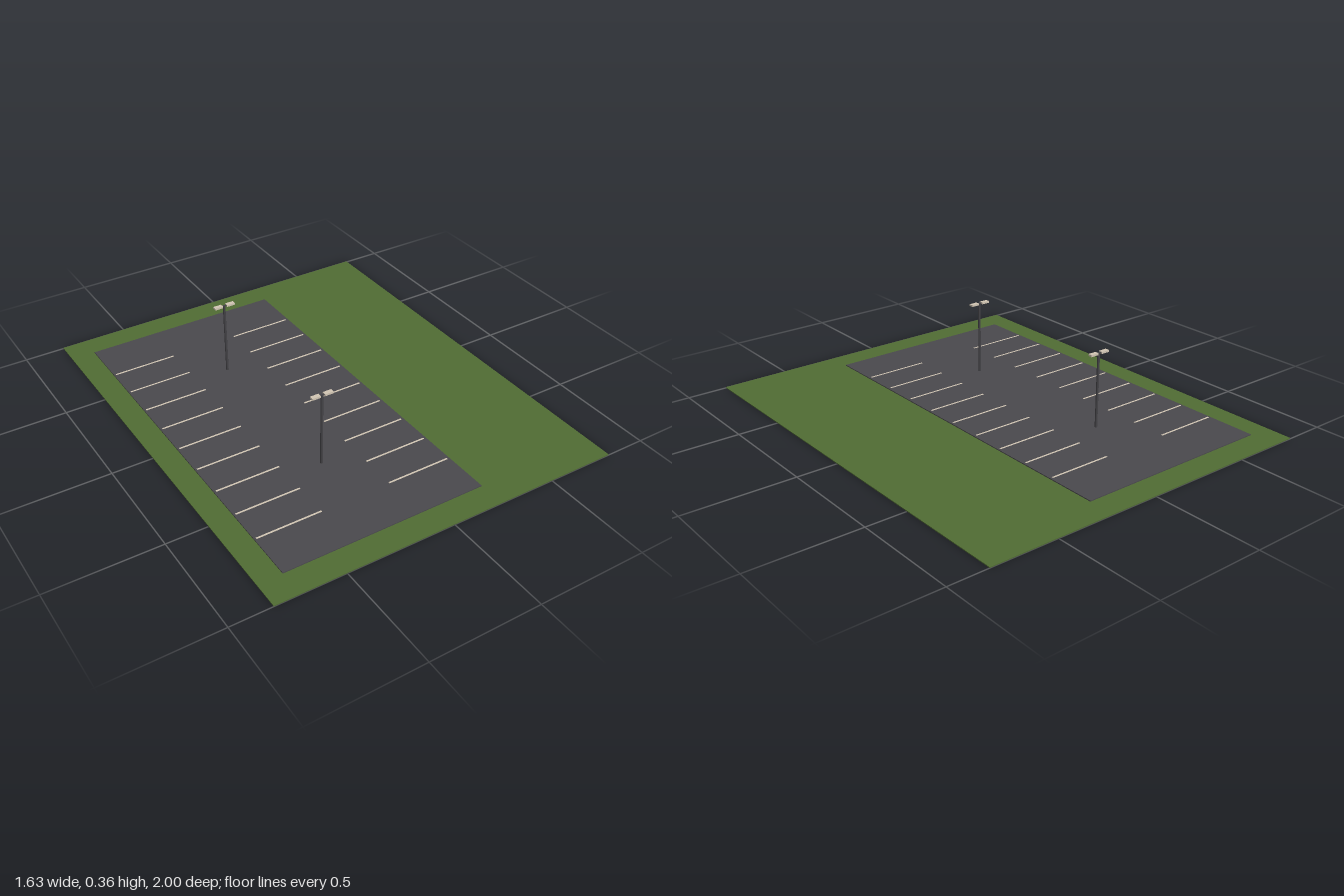
import * as THREE from 'three';

const material = (name, color) => {
  const m = new THREE.MeshStandardMaterial({ color });
  m.name = name;
  return m;
};

export function createModel() {
  const grass = material('grass green', 0x506c33);
  const asphalt = material('asphalt grey', 0x4a494d);
  const paint = material('line cream', 0xd2c6b4);
  const metal = material('pole charcoal', 0x444347);

  const model = new THREE.Group();
  model.name = 'parkingLot';

  // Box given by its size, centre x/z and the height of its underside
  const box = (parent, name, mat, [w, h, d], x, y, z) => {
    const mesh = new THREE.Mesh(new THREE.BoxGeometry(w, h, d), mat);
    mesh.name = name;
    mesh.position.set(x, y + h / 2, z);
    parent.add(mesh);
    return mesh;
  };

  // Lawn slab with the paved area on top
  box(model, 'lawn', grass, [1.63, 0.004, 2], 0, 0, 0);
  box(model, 'pavement', asphalt, [0.936, 0.004, 1.756], -0.237, 0.004, 0);

  // Two rows of parking bay lines
  const lines = new THREE.Group();
  lines.name = 'bayLines';
  model.add(lines);
  for (let i = 0; i < 9; i++) {
    const z = 0.009 + (i - 4) * 0.164;
    for (const x of [-0.548, 0.072]) {
      box(lines, 'bayLine', paint, [0.296, 0.001, 0.008], x, 0.008, z);
    }
  }

  // Lamp posts, each with a crossbar and two flat heads
  for (const z of [-0.411, 0.409]) {
    const lamp = new THREE.Group();
    lamp.name = 'lampPost';
    lamp.position.set(-0.238, 0, z);
    model.add(lamp);

    const pole = new THREE.Mesh(new THREE.CylinderGeometry(0.006, 0.006, 0.346, 12), metal);
    pole.name = 'pole';
    pole.position.y = 0.181;
    lamp.add(pole);

    box(lamp, 'crossbar', metal, [0.03, 0.005, 0.006], 0, 0.35, 0);
    for (const side of [-1, 1]) {
      box(lamp, 'lampHead', paint, [0.04, 0.009, 0.02], side * 0.03, 0.348, 0);
    }
  }
  return model;
}
